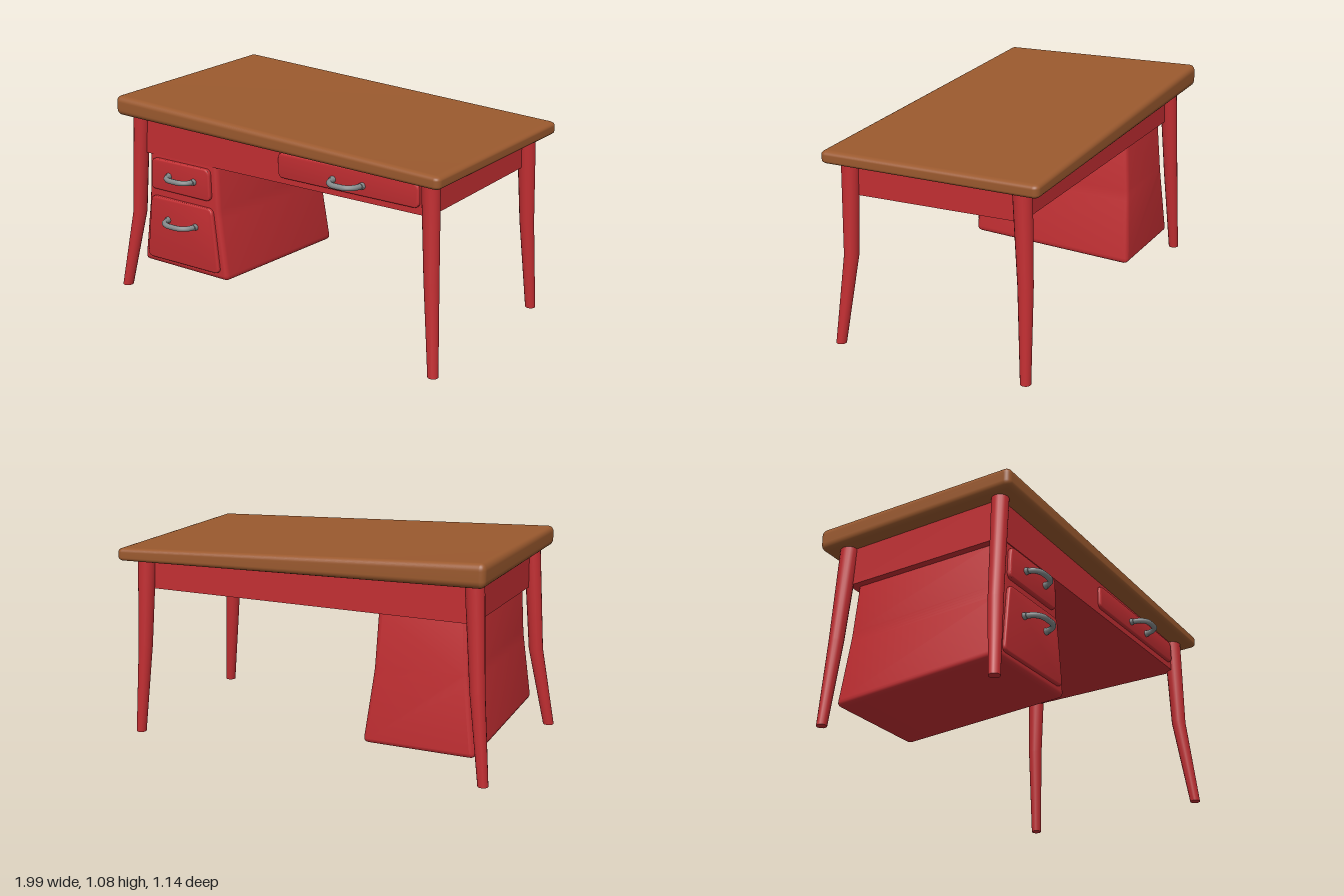
import * as THREE from 'three';
import { mergeVertices, toCreasedNormals } from 'three/addons/utils/BufferGeometryUtils.js';
import { RoundedBoxGeometry } from 'three/addons/geometries/RoundedBoxGeometry.js';

const { lerp, clamp } = THREE.MathUtils;

// Moves every vertex by a rule, then rebuilds the normals.
function warp(geometry, rule, crease) {
  const p = geometry.attributes.position;
  const v = new THREE.Vector3();
  for (let i = 0; i < p.count; i++) {
    v.fromBufferAttribute(p, i);
    rule(v);
    p.setXYZ(i, v.x, v.y, v.z);
  }
  if (crease !== undefined) return toCreasedNormals(geometry, crease);
  geometry.deleteAttribute('normal');
  geometry.deleteAttribute('uv');
  const merged = mergeVertices(geometry, 1e-4);
  merged.computeVertexNormals();
  return merged;
}

// Polygon outline with softened corners.
function softPolygon(points, radius) {
  const shape = new THREE.Shape();
  const pts = points.map(([x, y]) => new THREE.Vector2(x, y));
  pts.forEach((c, i) => {
    const before = pts[(i + pts.length - 1) % pts.length];
    const after = pts[(i + 1) % pts.length];
    const a = before.clone().sub(c).setLength(radius).add(c);
    const b = after.clone().sub(c).setLength(radius).add(c);
    if (i === 0) shape.moveTo(a.x, a.y);
    else shape.lineTo(a.x, a.y);
    shape.quadraticCurveTo(c.x, c.y, b.x, b.y);
  });
  shape.closePath();
  return shape;
}

// Outline extruded from zBack to zFront with rounded rims.
function slab(points, radius, zBack, zFront, bevel) {
  const g = new THREE.ExtrudeGeometry(softPolygon(points, radius), {
    depth: zFront - zBack - 2 * bevel, curveSegments: 4,
    bevelEnabled: true, bevelThickness: bevel, bevelSize: bevel,
    bevelOffset: -bevel, bevelSegments: 3,
  });
  return g.translate(0, 0, zBack + bevel);
}

// Bent, tapering leg through three sections [y, x, z, radius], top first.
function legGeometry(sections) {
  return warp(new THREE.CylinderGeometry(1, 1, 1, 16, 2), (v) => {
    const [y, x, z, r] = sections[Math.round((0.5 - v.y) * 2)];
    v.set(x + v.x * r, y, z + v.z * r);
  }, 0.7);
}

export function createModel() {
  const desk = new THREE.Group();
  desk.name = 'desk';
  const material = (name, color) => {
    const m = new THREE.MeshStandardMaterial({ color });
    m.name = name;
    return m;
  };
  const wood = material('brown wood', 0x9a592e);
  const red = material('red paint', 0xc22e32);
  const steel = material('grey metal', 0x858a8b);
  const add = (name, geometry, mat, parent = desk) => {
    const mesh = new THREE.Mesh(geometry, mat);
    mesh.name = name;
    parent.add(mesh);
    return mesh;
  };

  // Wedge-shaped top, thick and high on one end
  const top = new RoundedBoxGeometry(1.94, 0.1, 1.13, 4, 0.03);
  add('tabletop', warp(top, (v) => {
    const t = v.x / 1.94 + 0.5;
    const f = v.z / 1.13 + 0.5;
    const bottom = lerp(0.964, 0.921, t) - 0.004 * f;
    const upper = lerp(lerp(1.083, 0.986, t), lerp(1.062, 0.98, t), f);
    v.y = lerp(bottom, upper, v.y / 0.1 + 0.5);
    v.x += 0.022;
    v.z -= 0.004;
  }), wood);

  // Apron under the top
  const apron = new THREE.BoxGeometry(1.75, 1, 0.9);
  add('apron', warp(apron, (v) => {
    const t = v.x / 1.75 + 0.5;
    v.y = v.y > 0 ? lerp(0.985, 0.94, t) : (v.z > 0 ? 0.753 : 0.766);
    v.x += 0.015;
    v.z += 0.01;
  }, 0.3), red);

  // Legs
  const legs = {
    frontLeftLeg: [[0.95, 0.89, 0.457, 0.045], [0.45, 0.91, 0.462, 0.037], [0, 0.96, 0.51, 0.026]],
    backLeftLeg: [[0.95, 0.89, -0.443, 0.047], [0.47, 0.905, -0.467, 0.037], [0, 0.94, -0.485, 0.026]],
    frontRightLeg: [[0.98, -0.86, 0.457, 0.043], [0.42, -0.9, 0.462, 0.037], [0, -0.972, 0.506, 0.028]],
    backRightLeg: [[0.98, -0.86, -0.443, 0.047], [0.45, -0.895, -0.465, 0.037], [0, -0.94, -0.482, 0.026]],
  };
  for (const [name, sections] of Object.entries(legs)) add(name, legGeometry(sections), red);

  // Flared drawer cabinet with a tilted floor
  const cabinet = slab([
    [-0.82, 0.8], [-0.838, 0.5], [-0.887, 0.15],
    [-0.308, 0.15], [-0.356, 0.5], [-0.37, 0.8],
  ], 0.03, -0.455, 0.46, 0.025);
  add('drawerCabinet', warp(cabinet, (v) => {
    const up = clamp((v.y - 0.15) / 0.65, 0, 1);
    v.y += 0.038 * ((v.z - 0.46) / 0.915) * (1 - up);
    v.z *= v.z < 0 ? 1 - 0.1 * up : 1 - 0.012 * up;
  }, 0.6), red);

  // Drawer fronts
  const fronts = {
    topDrawer: [[0.04, 0.785], [0.84, 0.785], [0.835, 0.905], [0.04, 0.912]],
    upperCabinetDrawer: [[-0.802, 0.57], [-0.4, 0.57], [-0.405, 0.737], [-0.79, 0.737]],
    lowerCabinetDrawer: [[-0.845, 0.183], [-0.352, 0.187], [-0.393, 0.53], [-0.803, 0.53]],
  };
  for (const [name, points] of Object.entries(fronts)) {
    add(name, toCreasedNormals(slab(points, 0.03, 0.44, 0.476, 0.008), 0.6), red);
  }

  // Bow handles: [name, centre x, centre y, half width, front z]
  const handles = [
    ['topDrawerHandle', 0.45, 0.837, 0.098, 0.568],
    ['upperCabinetHandle', -0.588, 0.657, 0.098, 0.548],
    ['lowerCabinetHandle', -0.595, 0.415, 0.108, 0.563],
  ];
  for (const [name, x, y, w, z] of handles) {
    const handle = new THREE.Group();
    handle.name = name;
    handle.position.set(x, y, 0);
    desk.add(handle);
    const reach = z - 0.014;
    const bow = new THREE.CatmullRomCurve3([
      [-1, 0.47], [-0.85, lerp(0.47, reach, 0.62)], [-0.5, lerp(0.47, reach, 0.94)], [0, reach],
      [0.5, lerp(0.47, reach, 0.94)], [0.85, lerp(0.47, reach, 0.62)], [1, 0.47],
    ].map(([u, d]) => new THREE.Vector3(u * (w - 0.014), 0, d)));
    add('bow', new THREE.TubeGeometry(bow, 32, 0.014, 10), steel, handle);
    for (const side of [-1, 1]) {
      const foot = add('foot', new THREE.CylinderGeometry(0.015, 0.018, 0.02, 12), steel, handle);
      foot.rotation.x = Math.PI / 2;
      foot.position.set(side * (w - 0.014), 0, 0.483);
    }
  }

  return desk;
}
